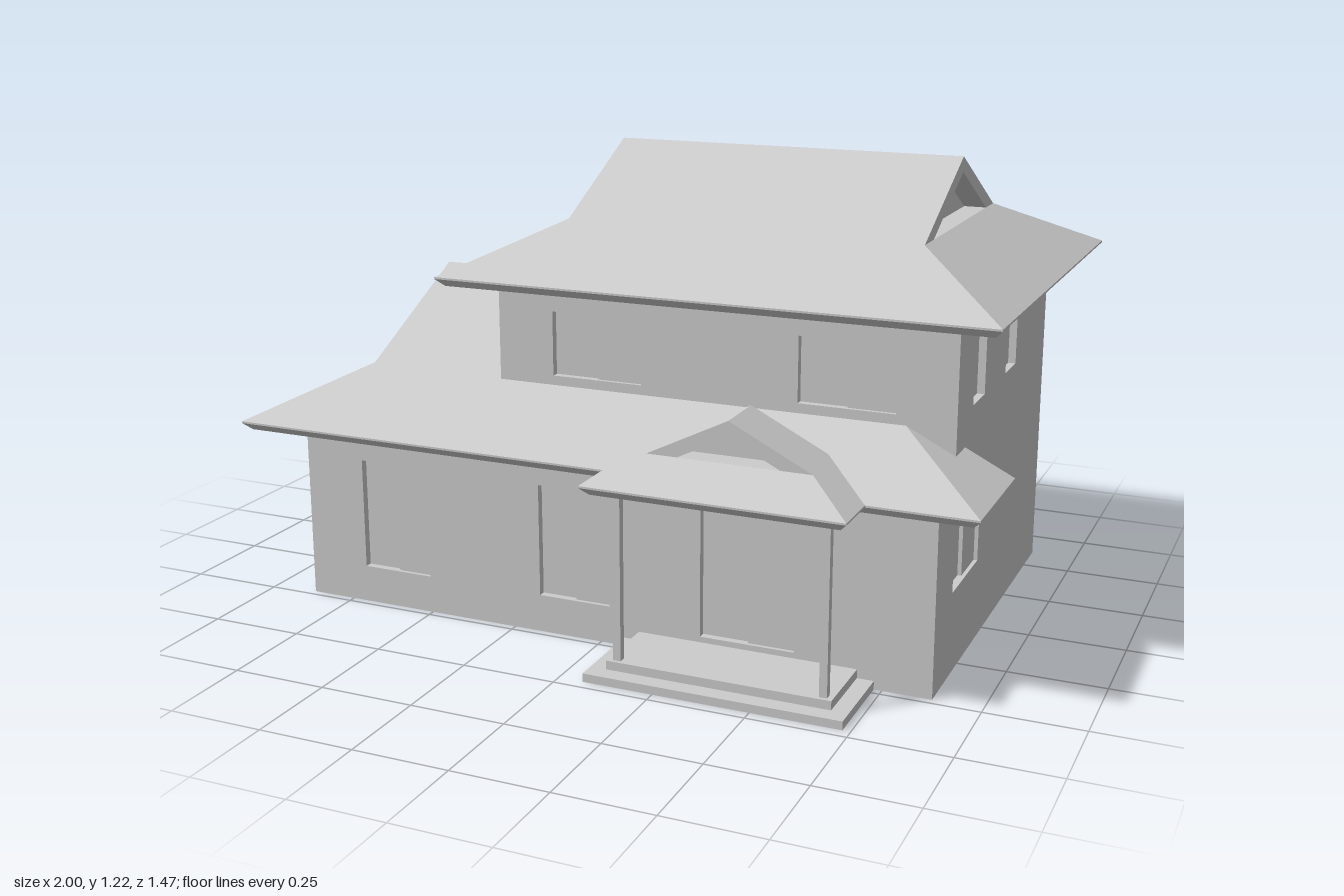
import * as THREE from 'three';

const material = new THREE.MeshStandardMaterial({ color: 0xcccccc, flatShading: true });
const sheet = new THREE.MeshStandardMaterial({ color: 0xcccccc, flatShading: true, side: THREE.DoubleSide });
const PITCH = 0.5, SHELL = 0.02;

function box(name, [x0, x1], [y0, y1], [z0, z1]) {
  const mesh = new THREE.Mesh(new THREE.BoxGeometry(x1 - x0, y1 - y0, z1 - z0), material);
  mesh.position.set((x0 + x1) / 2, (y0 + y1) / 2, (z0 + z1) / 2);
  mesh.name = name;
  return mesh;
}

// Mesh from flat polygons, each fanned from its first corner
function polygons(name, list) {
  const pos = [];
  for (const p of list)
    for (let i = 1; i < p.length - 1; i++) pos.push(...p[0], ...p[i], ...p[i + 1]);
  const geo = new THREE.BufferGeometry();
  geo.setAttribute('position', new THREE.Float32BufferAttribute(pos, 3));
  geo.computeVertexNormals();
  const mesh = new THREE.Mesh(geo, sheet);
  mesh.name = name;
  return mesh;
}

// Wall panel with recessed windows; windows are [centre, width, bottom, top, single]
function wall(name, side, face, [a, b], [y0, y1], windows = []) {
  const { angle, sign } = {
    front: { angle: 0, sign: 1 }, back: { angle: Math.PI, sign: -1 },
    right: { angle: Math.PI / 2, sign: -1 }, left: { angle: -Math.PI / 2, sign: 1 },
  }[side];
  const rect = (Type, u0, u1, v0, v1) => {
    const r = new Type();
    r.moveTo(u0, v0).lineTo(u1, v0).lineTo(u1, v1).lineTo(u0, v1).closePath();
    return r;
  };
  const group = new THREE.Group();
  const [u0, u1] = [a * sign, b * sign].sort((p, q) => p - q);
  const shape = rect(THREE.Shape, u0, u1, y0, y1);
  for (const [c, w, v0, v1, single] of windows) {
    const u = c * sign;
    shape.holes.push(rect(THREE.Path, u - w / 2, u + w / 2, v0, v1));
    // sliding pane, set forward of the other half
    if (!single) group.add(box('windowPane', [u, u + w / 2], [v0, v1], [face - SHELL, face - SHELL / 2]));
  }
  const panel = new THREE.Mesh(new THREE.ExtrudeGeometry(shape, { depth: SHELL, bevelEnabled: false }), material);
  panel.position.z = face - SHELL;
  panel.name = 'wallPanel';
  group.add(panel);
  group.rotation.y = angle;
  group.name = name;
  return group;
}

// Gablet roof with its ridge along x; hipped at the low-x end and optionally at both
function gabletRoof(name, x0, x1, z0, z1, e, d, bothEnds) {
  const zc = (z0 + z1) / 2, top = e + PITCH * (z1 - z0) / 2, ys = e + PITCH * d;
  const drop = 0.04, inY = top - drop, recess = 0.06;
  const list = [];
  for (const [zEave, zs] of [[z1, z1 - d], [z0, z0 + d]]) {
    const slope = [[x0 + d, ys, zs], [x0, e, zEave], [x1, e, zEave]];
    if (bothEnds) slope.push([x1 - d, ys, zs]);
    slope.push([bothEnds ? x1 - d : x1, top, zc], [x0 + d, top, zc]);
    list.push(slope);
  }
  for (const [xe, s] of bothEnds ? [[x0, 1], [x1, -1]] : [[x0, 1]]) {
    const X = xe + s * d, xi = X + s * recess;
    const zf = z1 - d, zb = z0 + d, inF = zf - drop / PITCH, inB = zb + drop / PITCH;
    list.push([[xe, e, z0], [xe, e, z1], [X, ys, zf], [X, ys, zb]]); // hip
    list.push([[X, ys, inF], [X, ys, inB], [xi, ys, inB], [xi, ys, inF]]); // ledge
    list.push([[xi, ys, inF], [xi, inY, zc], [xi, ys, inB]]); // gable wall
    for (const [zo, zi] of [[zf, inF], [zb, inB]]) {
      list.push([[X, ys, zo], [X, top, zc], [X, inY, zc], [X, ys, zi]]); // barge board
      list.push([[X, ys, zi], [X, inY, zc], [xi, inY, zc], [xi, ys, zi]]); // verge underside
    }
  }
  return polygons(name, list);
}

// Eave edge and soffit around an outline of [x, z] corners
function eaves(name, outline, e) {
  const xs = outline.map(p => p[0]), zs = outline.map(p => p[1]);
  const clamp = (v, all) => THREE.MathUtils.clamp(v, Math.min(...all) + 0.02, Math.max(...all) - 0.02);
  const rings = [
    outline.map(([x, z]) => [x, e, z]),
    outline.map(([x, z]) => [x, e - 0.005, z]),
    outline.map(([x, z]) => [clamp(x, xs), e - 0.025, clamp(z, zs)]),
  ];
  const list = [rings[2]];
  for (let r = 0; r < 2; r++)
    outline.forEach((_, i) => {
      const j = (i + 1) % outline.length;
      list.push([rings[r][i], rings[r][j], rings[r + 1][j], rings[r + 1][i]]);
    });
  return polygons(name, list);
}

export function createModel() {
  const house = new THREE.Group();
  house.name = 'house';
  const low = [0, 0.5], high = [0.5, 0.89];
  const lowWin = [0.215, 0.4], highWin = [0.655, 0.825];

  // Solid cores behind the wall panels
  house.add(box('groundFloorCore', [-0.855, 0.855], low, [-0.59, 0.46]));
  house.add(box('upperFloorCore', [-0.33, 0.855], high, [-0.59, 0.325]));

  // Ground floor walls
  house.add(wall('groundFrontWall', 'front', 0.48, [-0.875, 0.875], low,
    [[-0.605, 0.2, 0.1, 0.4], [-0.075, 0.2, 0.1, 0.4], [0.4, 0.25, 0.06, 0.4]]));
  house.add(wall('groundBackWall', 'back', 0.61, [-0.875, 0.875], low,
    [[0.675, 0.11, ...lowWin, true], [0.4, 0.11, ...lowWin, true], [-0.06, 0.24, ...lowWin], [-0.595, 0.25, ...lowWin]]));
  house.add(wall('groundRightWall', 'right', 0.875, [-0.59, 0.46], low, [[0.203, 0.245, ...lowWin]]));
  house.add(wall('groundLeftWall', 'left', 0.875, [-0.59, 0.46], low, [[0.053, 0.25, ...lowWin]]));

  // Upper floor walls
  house.add(wall('upperFrontWall', 'front', 0.345, [-0.35, 0.875], high,
    [[-0.07, 0.25, ...highWin], [0.6, 0.25, ...highWin]]));
  house.add(wall('upperBackWall', 'back', 0.61, [-0.35, 0.875], high,
    [[0.675, 0.11, ...highWin, true], [0.078, 0.23, ...highWin]]));
  house.add(wall('upperRightWall', 'right', 0.875, [-0.59, 0.325], high,
    [[0.138, 0.115, ...highWin, true], [-0.198, 0.115, ...highWin, true]]));
  house.add(wall('upperLeftWall', 'left', 0.35, [-0.59, 0.325], high));

  // Main roof
  house.add(gabletRoof('upperRoof', -0.47, 1, -0.735, 0.465, 0.915, 0.257, true));
  house.add(eaves('upperEaves', [[-0.47, -0.735], [1, -0.735], [1, 0.465], [-0.47, 0.465]], 0.915));

  // Side wing roof, and the skirt roof running on across the front
  const e = 0.505;
  house.add(gabletRoof('wingRoof', -1, -0.34, -0.735, 0.595, e, 0.257, false));
  house.add(polygons('skirtRoof', [
    [[-0.34, e, 0.595], [1, e, 0.595], [0.75, 0.63, 0.345], [-0.34, 0.63, 0.345]],
    [[1, e, 0.595], [1, e, 0.26], [0.75, 0.63, 0.26], [0.75, 0.63, 0.345]],
    [[1, e, 0.26], [0.75, e, 0.26], [0.75, 0.63, 0.26]],
    [[-0.34, e, -0.735], [-0.26, e, -0.735], [-0.26, 0.568, -0.609], [-0.34, 0.568, -0.609]],
    [[-0.26, e, -0.735], [-0.26, e, -0.609], [-0.26, 0.568, -0.609]],
  ]));
  house.add(eaves('lowerEaves',
    [[-0.26, 0.26], [1, 0.26], [1, 0.595], [-1, 0.595], [-1, -0.735], [-0.26, -0.735]], e));

  // Porch
  const porch = new THREE.Group();
  porch.name = 'porch';
  porch.add(box('porchStep', [0.065, 0.73], [0, 0.022], [0.46, 0.72]));
  porch.add(box('porchFloor', [0.107, 0.687], [0.022, 0.045], [0.46, 0.675]));
  for (const x of [0.132, 0.663])
    porch.add(box('porchPost', [x - 0.01, x + 0.01], [0.045, 0.482], [0.645, 0.665]));
  const porchRoof = gabletRoof('porchRoof', -0.73, -0.46, 0.065, 0.73, e, 0.122, false);
  porchRoof.rotation.y = Math.PI / 2;
  porch.add(porchRoof);
  porch.add(eaves('porchEaves', [[0.065, 0.46], [0.73, 0.46], [0.73, 0.73], [0.065, 0.73]], e));
  house.add(porch);
  return house;
}
